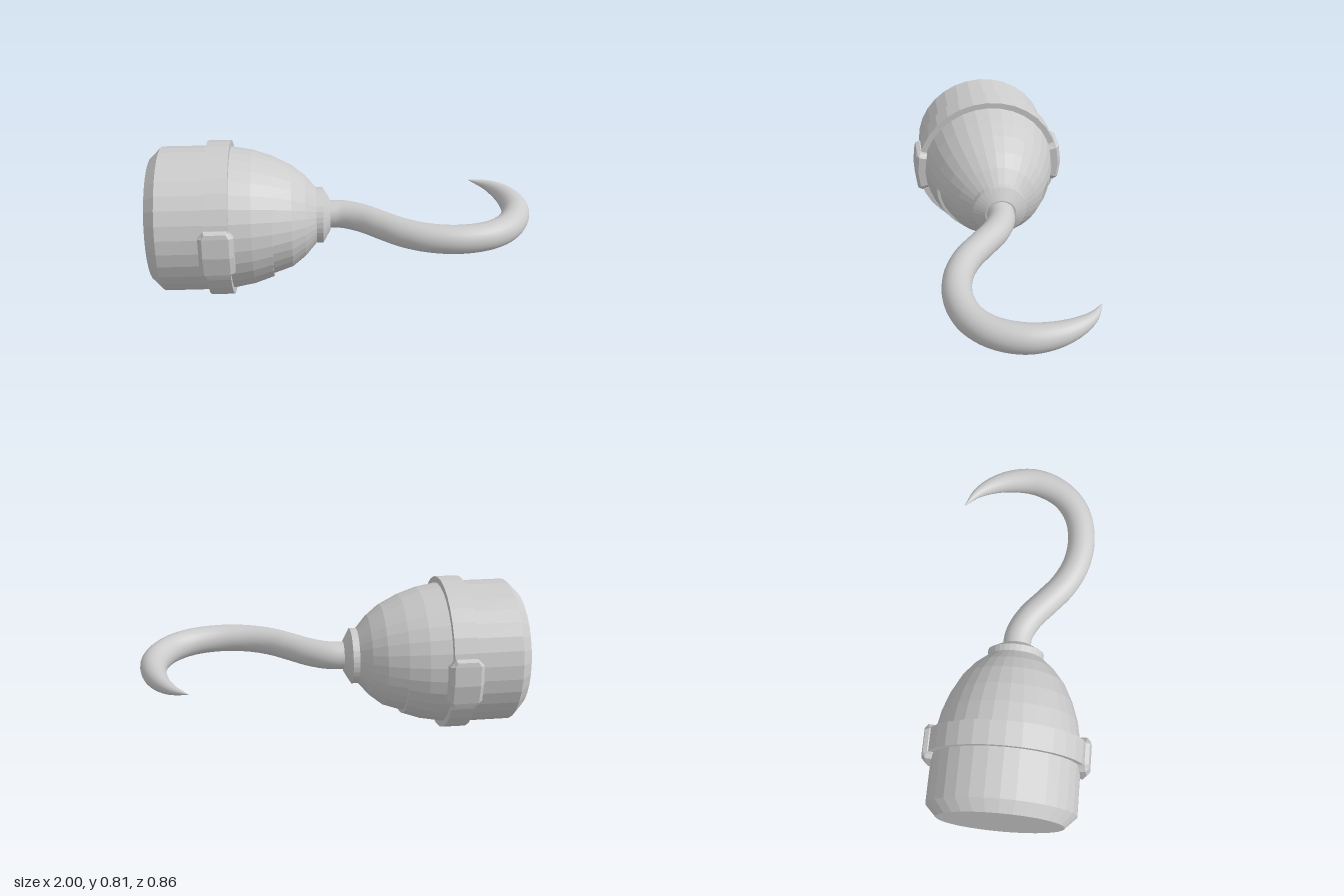
import * as THREE from 'three';

const AXIS_Y = 0.408;
const SIDES = 32;

// Revolves [x, radius] points around the long x axis
function turned(name, points, material, start = 0, sweep = Math.PI * 2) {
  const profile = points.map(([x, r]) => new THREE.Vector2(r, x));
  const sides = Math.round(SIDES * sweep / (Math.PI * 2));
  const geometry = new THREE.LatheGeometry(profile, sides, start, sweep);
  geometry.rotateZ(-Math.PI / 2);
  const mesh = new THREE.Mesh(geometry, material);
  mesh.name = name;
  return mesh;
}

// Bevelled octagonal plate, bent around the cup; rows run along the bend
function plateGeometry() {
  // [arc offset, outer half width, inner half width, rim radius, face radius]
  const half = [
    [0.138, 0.058, 0.05, 0.37, 0.37],
    [0.138, 0.058, 0.05, 0.412, 0.412],
    [0.122, 0.068, 0.053, 0.412, 0.43],
    [0.1, 0.087, 0.066, 0.412, 0.43],
  ];
  const rows = [
    ...half.map(([s, ...rest]) => [-s, ...rest]),
    [0, 0.087, 0.066, 0.412, 0.43],
    ...half.slice().reverse(),
  ];
  const positions = [];
  const index = [];
  rows.forEach(([s, outer, inner, rim, face], i) => {
    const a = s / 0.42;
    const section = [
      [-outer, 0.37], [-outer, rim], [-inner, face],
      [inner, face], [outer, rim], [outer, 0.37],
    ];
    section.forEach(([x, r], j) => {
      positions.push(x, r * Math.sin(a), r * Math.cos(a));
      if (i < rows.length - 1 && j < 5) {
        const p = i * 6 + j;
        index.push(p, p + 1, p + 6, p + 1, p + 7, p + 6);
      }
    });
  });
  const geometry = new THREE.BufferGeometry();
  geometry.setAttribute('position', new THREE.Float32BufferAttribute(positions, 3));
  geometry.setIndex(index);
  geometry.computeVertexNormals();
  return geometry;
}

// Curved round bar that tapers to a point
function hookGeometry() {
  const path = new THREE.CatmullRomCurve3([
    [-0.09, 0], [0, 0.008], [0.1, 0.058], [0.2, 0.142], [0.3, 0.222],
    [0.43, 0.283], [0.59, 0.303], [0.75, 0.264], [0.86, 0.172], [0.922, 0.03],
    [0.92, -0.1], [0.885, -0.21], [0.825, -0.3], [0.735, -0.367],
  ].map(([x, z]) => new THREE.Vector3(x, 0, z)));
  const segments = 72, sides = 24;
  const geometry = new THREE.TubeGeometry(path, segments, 0.074, sides, false);
  const position = geometry.attributes.position;
  const v = new THREE.Vector3();
  for (let i = 0; i <= segments; i++) {
    const u = i / segments;
    const t = Math.max(0, (u - 0.68) / 0.32);
    const centre = path.getPointAt(u);
    for (let j = 0; j <= sides; j++) {
      const k = i * (sides + 1) + j;
      v.fromBufferAttribute(position, k).sub(centre).multiplyScalar(1 - t * t).add(centre);
      position.setXYZ(k, v.x, v.y, v.z);
    }
  }
  return geometry;
}

export function createModel() {
  const group = new THREE.Group();
  group.name = 'hookHand';
  const flat = new THREE.MeshStandardMaterial({ color: 0xcccccc, flatShading: true });
  const thin = new THREE.MeshStandardMaterial({ color: 0xcccccc, flatShading: true, side: THREE.DoubleSide });
  const smooth = new THREE.MeshStandardMaterial({ color: 0xcccccc });

  // Cup: the lower half carries a shallow tapering recess
  const back = [[-1, 0], [-1, 0.322], [-0.942, 0.38], [-0.7, 0.38], [-0.58, 0.374], [-0.47, 0.354], [-0.37, 0.32]];
  const nose = [[-0.27, 0.27], [-0.2, 0.214], [-0.14, 0.145], [-0.14, 0]];
  group.add(turned('cupUpper', [...back, ...nose], flat, Math.PI, Math.PI));
  group.add(turned('cupLower', [...back, [-0.37, 0.304], ...nose], flat, 0, Math.PI));

  // Small walls closing the ends of the recess
  for (const side of [1, -1]) {
    const shape = new THREE.Shape([[-0.37, 0.32], [-0.37, 0.304], [-0.27, 0.27]]
      .map(([x, r]) => new THREE.Vector2(x, r)));
    const wall = new THREE.Mesh(new THREE.ShapeGeometry(shape), thin);
    wall.name = 'recessEnd';
    wall.rotation.x = side * Math.PI / 2;
    group.add(wall);
  }

  // Band around the cup
  group.add(turned('band', [[-0.7, 0.36], [-0.7, 0.407], [-0.58, 0.407], [-0.58, 0.36]], flat));

  // Plates on the front and back of the band
  const plate = plateGeometry();
  for (const [name, turn] of [['frontPlate', 0], ['backPlate', Math.PI]]) {
    const mesh = new THREE.Mesh(plate, flat);
    mesh.name = name;
    mesh.position.x = -0.642;
    mesh.rotation.y = turn;
    group.add(mesh);
  }

  // Collar at the root of the hook
  group.add(turned('collar', [[-0.148, 0], [-0.148, 0.148], [-0.107, 0.148], [-0.07, 0.085], [-0.07, 0]], flat));

  const hook = new THREE.Mesh(hookGeometry(), smooth);
  hook.name = 'hook';
  hook.position.y = 0.005;
  group.add(hook);

  group.position.y = AXIS_Y;
  const model = new THREE.Group();
  model.name = 'model';
  model.add(group);
  return model;
}
